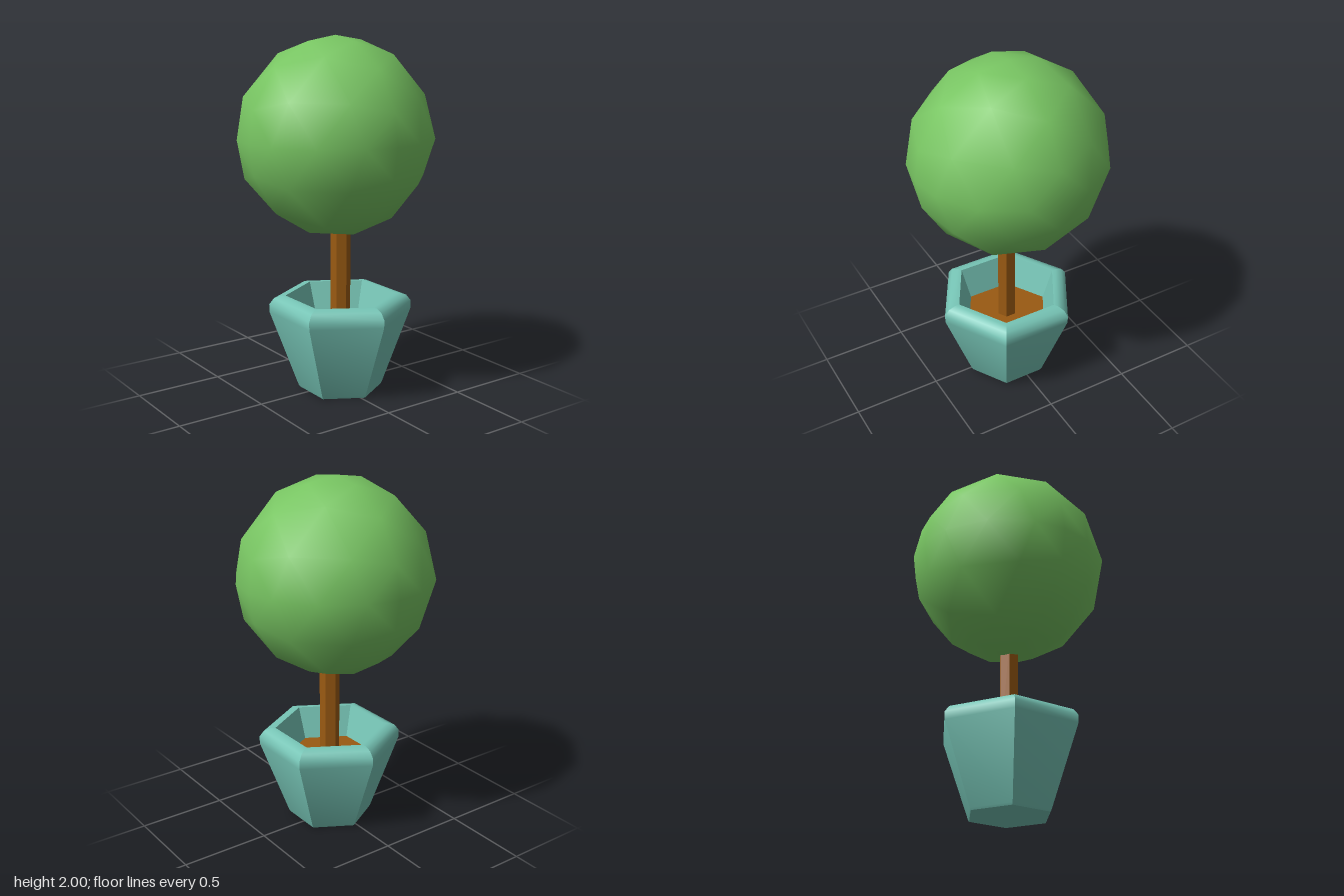
import * as THREE from 'three';
import { mergeGeometries, toCreasedNormals } from 'three/addons/utils/BufferGeometryUtils.js';

const SIDES = 6;
const STEP = (Math.PI * 2) / SIDES;
const START = STEP / 2; // flat side to the front, corners on +x and -x

function part(name, geometry, color) {
  const mesh = new THREE.Mesh(geometry, new THREE.MeshStandardMaterial({ color }));
  mesh.name = name;
  return mesh;
}

// Six-sided turned shape: corners between sides stay sharp, the profile is smooth along its height
function hexLathe(profile) {
  const points = profile.map(([r, y]) => new THREE.Vector2(r, y));
  const panels = [];
  for (let i = 0; i < SIDES; i++) {
    const panel = new THREE.LatheGeometry(points, 1, START + i * STEP, STEP);
    panels.push(toCreasedNormals(panel, 0.9));
  }
  return mergeGeometries(panels);
}

function hexPrism(radius, bottom, top) {
  const g = new THREE.CylinderGeometry(radius, radius, top - bottom, SIDES, 1, false, START);
  g.translate(0, (top + bottom) / 2, 0);
  return toCreasedNormals(g, 0.5);
}

export function createModel() {
  const model = new THREE.Group();
  model.name = 'pottedTree';

  // Pot and trunk sit slightly off the centre of the crown
  const planter = new THREE.Group();
  planter.name = 'planter';
  planter.position.set(0.024, 0, -0.02);
  model.add(planter);

  // Pot: floor, tapered wall, rounded rim, tapered inside
  const pot = hexLathe([
    [0, 0], [0.235, 0], [0.242, 0.012],
    [0.404, 0.455], [0.405, 0.5], [0.378, 0.535], [0.338, 0.549],
    [0.312, 0.549], [0.24, 0.34],
  ]);
  planter.add(part('pot', pot, 0x76c4b5));

  // Soil inside the pot
  const soil = new THREE.CircleGeometry(0.256, SIDES);
  soil.rotateX(-Math.PI / 2);
  soil.translate(0, 0.37, 0);
  planter.add(part('soil', soil, 0x9a5a12));

  // Trunk
  planter.add(part('trunk', hexPrism(0.056, 0.36, 1.0), 0x9a5a12));

  // Leafy crown
  const crown = part('crown', new THREE.OctahedronGeometry(0.55, 3), 0x78c562);
  crown.position.y = 1.45;
  model.add(crown);

  return model;
}
